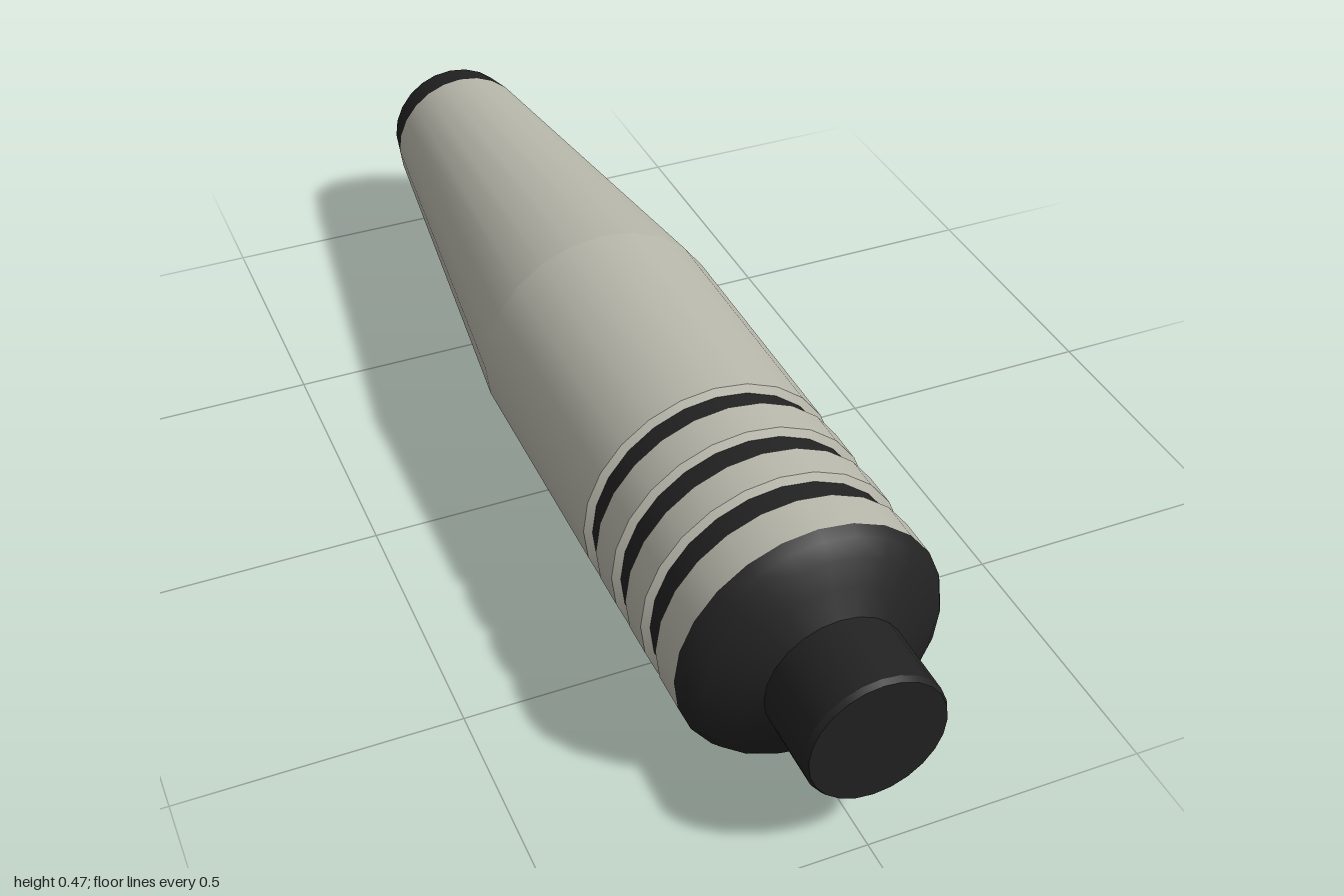
import * as THREE from 'three';
import { mergeGeometries } from 'three/addons/utils/BufferGeometryUtils.js';

const SIDES = 24;
const RADIUS = 0.236;
const GROOVE = 0.223;
const BEVEL = 0.008;

export function createModel() {
  const model = new THREE.Group();
  const shell = new THREE.MeshStandardMaterial({ color: 0xb9b8ac });
  shell.name = 'warm grey';
  const rubber = new THREE.MeshStandardMaterial({ color: 0x222222 });
  rubber.name = 'black';

  // Turned part along z: each run of [radius, z] points is smooth, edges between runs are sharp
  function turned(name, material, ...runs) {
    const parts = runs.map((run) =>
      new THREE.LatheGeometry(run.map(([r, z]) => new THREE.Vector2(r, z)), SIDES));
    const geometry = mergeGeometries(parts).rotateX(Math.PI / 2);
    const mesh = new THREE.Mesh(geometry, material);
    mesh.name = name;
    mesh.position.y = 0.237;
    model.add(mesh);
  }

  // Rear cap with a shallow socket
  turned('rearCap', rubber,
    [[0.055, -1], [0.126, -1]],
    [[0.126, -1], [0.132, -0.99]],
    [[0.132, -0.99], [0.145, -0.922]]);
  turned('socketWall', shell, [[0.055, -0.92], [0.055, -1]]);
  turned('socketFloor', rubber, [[0, -0.92], [0.055, -0.92]]);

  // Main body: taper, then straight barrel
  turned('body', shell,
    [[0.145, -0.922], [RADIUS, -0.11]],
    [[RADIUS, -0.11], [RADIUS, 0.395 - BEVEL]],
    [[RADIUS, 0.395 - BEVEL], [GROOVE, 0.395]]);

  // Three raised rings, each behind a dark groove
  const rings = [[0.435, 0.52], [0.563, 0.643], [0.687, 0.768]];
  let grooveStart = 0.395;
  rings.forEach(([a, b], i) => {
    turned('groove' + (i + 1), rubber, [[GROOVE, grooveStart], [GROOVE, a]]);
    const last = i === rings.length - 1;
    const runs = [
      [[GROOVE, a], [RADIUS, a + BEVEL]],
      [[RADIUS, a + BEVEL], [RADIUS, last ? b : b - BEVEL]],
    ];
    if (!last) runs.push([[RADIUS, b - BEVEL], [GROOVE, b]]);
    turned('ring' + (i + 1), shell, ...runs);
    grooveStart = b;
  });

  // Rounded shoulder at the front
  turned('shoulder', rubber,
    [[RADIUS, 0.768], [0.225, 0.787], [0.202, 0.808], [0.165, 0.83], [0.123, 0.856]]);

  // Front knob
  turned('knob', rubber,
    [[0.123, 0.85], [0.123, 0.99]],
    [[0.123, 0.99], [0.118, 1]],
    [[0.118, 1], [0, 1]]);

  return model;
}
